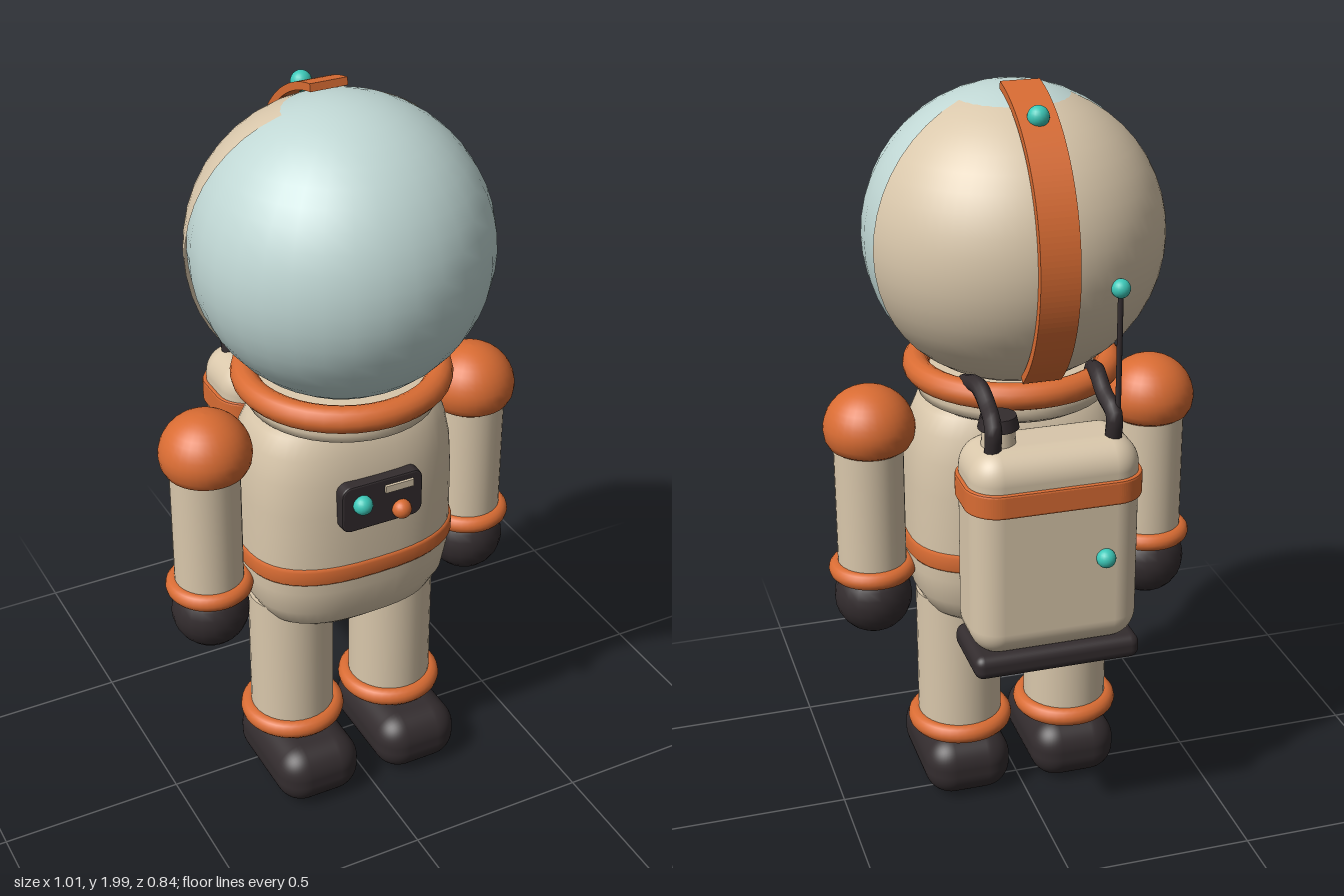
import * as THREE from 'three';
import { RoundedBoxGeometry } from 'three/addons/geometries/RoundedBoxGeometry.js';

const material = (name, color, side = THREE.FrontSide) => {
  const m = new THREE.MeshStandardMaterial({ color, side });
  m.name = name;
  return m;
};

// Stack of soft-cornered oval rings, each [y, halfWidth, halfDepth]
function loft(rings, power = 2.6, n = 48) {
  const pos = [], index = [];
  const bend = (v) => Math.sign(v) * Math.pow(Math.abs(v), 2 / power);
  rings.forEach(([y, a, b], r) => {
    for (let i = 0; i < n; i++) {
      const t = (i / n) * Math.PI * 2;
      pos.push(a * bend(Math.cos(t)), y, b * bend(Math.sin(t)));
      if (r === rings.length - 1) continue;
      const p = r * n + i, q = r * n + ((i + 1) % n);
      index.push(p, p + n, q, q, p + n, q + n);
    }
  });
  const g = new THREE.BufferGeometry();
  g.setAttribute('position', new THREE.Float32BufferAttribute(pos, 3));
  g.setIndex(index);
  g.computeVertexNormals();
  return g;
}

const lathe = (points, n = 32) =>
  new THREE.LatheGeometry(points.map(([r, y]) => new THREE.Vector2(r, y)), n);

// Rounded rectangle in the shape plane
function roundedRect(w, h, r) {
  const s = new THREE.Shape();
  s.absarc(w / 2 - r, h / 2 - r, r, 0, Math.PI / 2);
  s.absarc(-w / 2 + r, h / 2 - r, r, Math.PI / 2, Math.PI);
  s.absarc(-w / 2 + r, -h / 2 + r, r, Math.PI, Math.PI * 1.5);
  s.absarc(w / 2 - r, -h / 2 + r, r, Math.PI * 1.5, Math.PI * 2);
  s.closePath();
  return s;
}

export function createModel() {
  const model = new THREE.Group();
  const fabric = material('suit beige', 0xd9c7ab, THREE.DoubleSide);
  const orange = material('trim orange', 0xd96c33);
  const dark = material('dark rubber', 0x332c2e);
  const glass = material('visor glass', 0xc0d7d4);
  const teal = material('light teal', 0x3cc8b8);
  const Z = 0.04; // depth of the body axis

  const add = (name, geometry, mat, x = 0, y = 0, z = 0) => {
    const mesh = new THREE.Mesh(geometry, mat);
    mesh.name = name;
    mesh.position.set(x, y, z);
    model.add(mesh);
    return mesh;
  };
  const ring = (name, r, tube, mat, x, y) => {
    const m = add(name, new THREE.TorusGeometry(r, tube, 14, 40), mat, x, y, Z);
    m.rotation.x = Math.PI / 2;
    return m;
  };
  const ball = (name, r, mat, x, y, z) =>
    add(name, new THREE.SphereGeometry(r, 20, 14), mat, x, y, z);

  // Helmet: glass globe with a slightly wider shell wrapped round the back
  add('visor', new THREE.SphereGeometry(0.38, 32, 24), glass, 0, 1.6, Z);
  const gap = 0.235;
  const shell = add('helmetShell', new THREE.SphereGeometry(0.389, 32, 24,
    Math.PI + gap, Math.PI - 2 * gap), fabric, 0, 1.6, Z);
  shell.scale.y = 0.973;
  // SphereGeometry starts at -x and sweeps through +z, so PI..2PI is the back

  // Crest band over the back of the helmet
  const crestShape = new THREE.Shape();
  const a0 = THREE.MathUtils.degToRad(80), a1 = THREE.MathUtils.degToRad(-50);
  crestShape.absarc(0, 0, 0.405, a0, a1, true);
  crestShape.absarc(0, 0, 0.385, a1, a0, false);
  crestShape.closePath();
  const crest = new THREE.ExtrudeGeometry(crestShape, { depth: 0.1, bevelEnabled: false, curveSegments: 32 });
  crest.translate(0, 0, -0.05).rotateY(Math.PI / 2);
  add('helmetCrest', crest, orange, 0, 1.6, Z);
  ball('crestLight', 0.027, teal, 0, 1.945, -0.18);

  // Collar and neck
  ring('collar', 0.25, 0.035, orange, 0, 1.25);
  add('neckRing', lathe([[0, 1.16], [0.22, 1.165], [0.245, 1.18], [0.25, 1.2], [0.25, 1.235], [0, 1.24]], 40),
    fabric, 0, 0, Z);

  // Torso and belt
  add('torso', loft([
    [0.522, 0, 0], [0.525, 0.12, 0.08], [0.545, 0.19, 0.125], [0.585, 0.245, 0.17], [0.64, 0.275, 0.197],
    [0.71, 0.288, 0.208], [0.8, 0.29, 0.211], [0.95, 0.289, 0.21], [1.04, 0.284, 0.204], [1.11, 0.27, 0.19],
    [1.16, 0.25, 0.17], [1.19, 0.22, 0.15], [1.2, 0, 0],
  ]), fabric, 0, 0, Z);
  add('belt', loft([
    [0.742, 0.27, 0.19], [0.742, 0.291, 0.211], [0.75, 0.297, 0.217],
    [0.785, 0.297, 0.217], [0.793, 0.291, 0.211], [0.793, 0.27, 0.19],
  ]), orange, 0, 0, Z);

  // Chest control panel
  const panel = new THREE.ExtrudeGeometry(roundedRect(0.22, 0.125, 0.022),
    { depth: 0.035, bevelThickness: 0.006, bevelSize: 0.005, bevelSegments: 2 });
  add('chestPanel', panel, dark, 0, 0.978, 0.23);
  ball('panelTealButton', 0.026, teal, -0.06, 0.99, 0.277);
  ball('panelOrangeButton', 0.026, orange, 0.052, 0.945, 0.277);
  add('panelLabel', new THREE.BoxGeometry(0.08, 0.02, 0.009), fabric, 0.045, 1.016, 0.274);

  for (const s of [1, -1]) {
    const side = s > 0 ? 'left' : 'right';
    // Arm, shoulder, cuff and glove
    add(side + 'Arm', new THREE.CylinderGeometry(0.091, 0.091, 0.42, 32), fabric, s * 0.388, 0.9, Z);
    const dome = [[0, -0.055], [0.09, -0.055], [0.105, -0.045], [0.116, -0.025]];
    for (let i = 0; i <= 10; i++) {
      const t = (i / 10) * Math.PI / 2;
      dome.push([0.12 * Math.cos(t), 0.115 * Math.sin(t)]);
    }
    add(side + 'Shoulder', lathe(dome), orange, s * 0.384, 1.105, Z);
    ring(side + 'Cuff', 0.092, 0.024, orange, s * 0.388, 0.705);
    ball(side + 'Glove', 0.104, dark, s * 0.388, 0.623, Z);

    // Leg, ankle ring and boot
    add(side + 'Leg', new THREE.CylinderGeometry(0.115, 0.115, 0.4, 32), fabric, s * 0.153, 0.41, Z);
    add(side + 'Ankle', new THREE.CylinderGeometry(0.115, 0.095, 0.05, 32), fabric, s * 0.153, 0.185, Z);
    ring(side + 'AnkleRing', 0.118, 0.026, orange, s * 0.153, 0.207);
    add(side + 'Boot', new RoundedBoxGeometry(0.24, 0.172, 0.36, 6, 0.075), dark, s * 0.153, 0.09, 0.08);

    // Air hose from the pack to the collar
    const hose = new THREE.CatmullRomCurve3([
      [0.155, 1.15, -0.315], [0.155, 1.225, -0.32], [0.15, 1.255, -0.26],
      [0.155, 1.285, -0.19], [0.17, 1.265, -0.11],
    ].map(([x, y, z]) => new THREE.Vector3(s * x, y, z)));
    add(side + 'Hose', new THREE.TubeGeometry(hose, 20, 0.022, 10), dark);
  }

  // Backpack with strap, base and light
  add('backpack', new RoundedBoxGeometry(0.44, 0.56, 0.225, 6, 0.075), fabric, 0, 0.89, -0.278);
  const strap = new THREE.ExtrudeGeometry(roundedRect(0.45, 0.232, 0.08),
    { depth: 0.052, bevelThickness: 0.006, bevelSize: 0.005, bevelSegments: 2 });
  strap.rotateX(-Math.PI / 2);
  add('backpackStrap', strap, orange, 0, 1.02, -0.28);
  add('backpackBase', new RoundedBoxGeometry(0.44, 0.065, 0.215, 4, 0.025), dark, 0, 0.588, -0.277);
  ball('backpackLight', 0.025, teal, -0.115, 0.87, -0.398);

  // Filler neck and cap
  add('fillerNeck', new THREE.CylinderGeometry(0.04, 0.045, 0.07, 20), fabric, 0.13, 1.185, -0.28);
  add('fillerCap', new THREE.CylinderGeometry(0.045, 0.052, 0.032, 20), dark, 0.13, 1.226, -0.28);

  // Antenna
  add('antenna', new THREE.CylinderGeometry(0.007, 0.007, 0.4, 10), dark, -0.165, 1.35, -0.32);
  ball('antennaTip', 0.024, teal, -0.165, 1.55, -0.32);

  return model;
}
